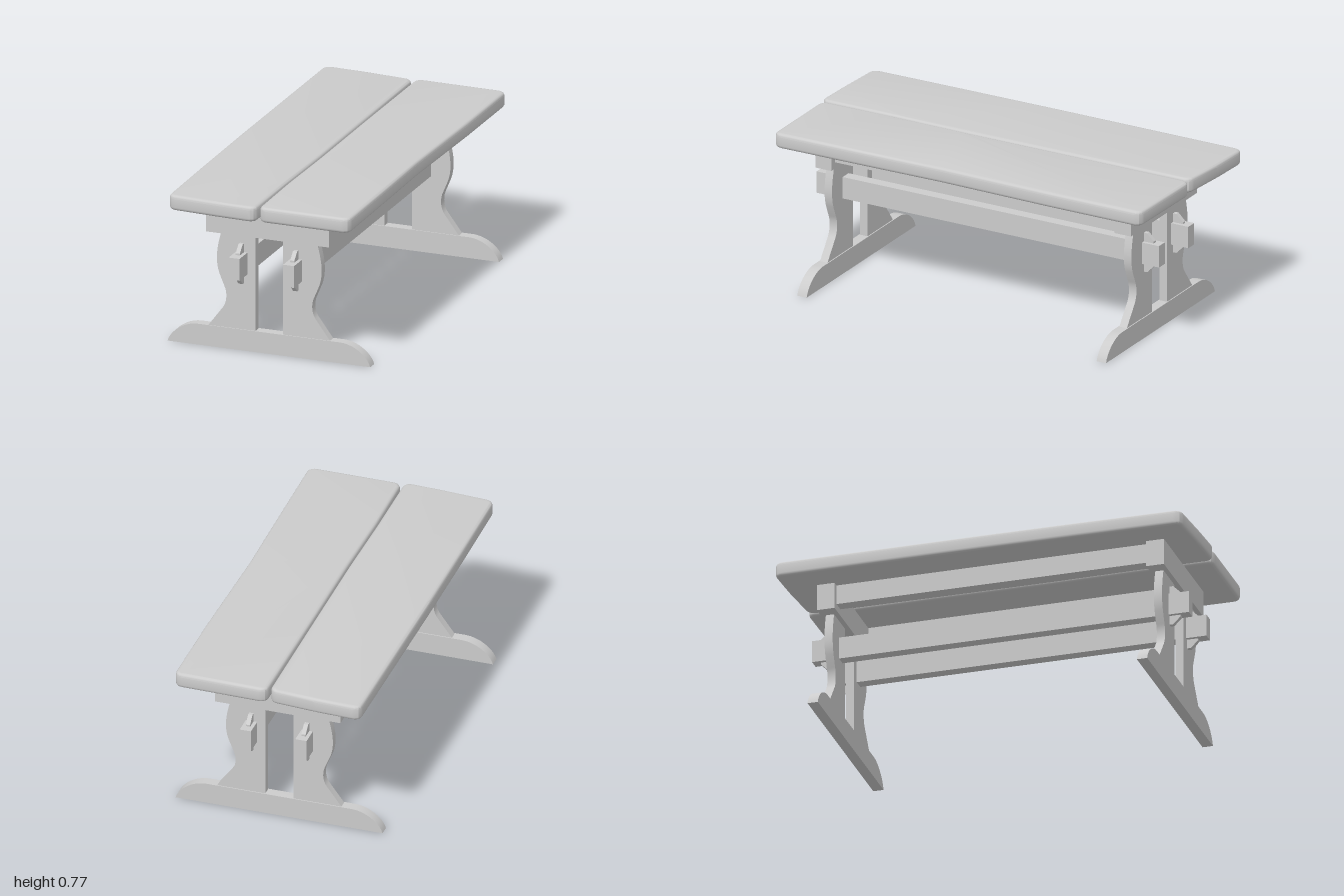
import * as THREE from 'three';
import { toCreasedNormals } from 'three/addons/utils/BufferGeometryUtils.js';

const CX = -0.003; // mirror line of the trestles
const CZ = 0.004;

export function createModel() {
  const table = new THREE.Group();
  table.name = 'trestleTable';
  const mat = new THREE.MeshStandardMaterial({ color: 0xcccccc });

  const add = (parent, name, geo) => {
    const mesh = new THREE.Mesh(geo, mat);
    mesh.name = name;
    parent.add(mesh);
    return mesh;
  };
  const box = (parent, name, w, h, d, x, y, z) =>
    add(parent, name, new THREE.BoxGeometry(w, h, d)).position.set(x, y, z);
  const board = (shape, depth) => toCreasedNormals(
    new THREE.ExtrudeGeometry(shape, { depth, bevelEnabled: false, curveSegments: 10 })
      .translate(0, 0, -depth / 2), 0.5);

  // Table planks: slightly uneven outlines with rounded corners and eased edges
  const bevel = 0.016;
  const plank = (name, pts) => {
    const v = pts.map(([x, z]) => new THREE.Vector2(x, z));
    const shape = new THREE.Shape();
    v.forEach((p, i) => {
      const prev = v[(i + v.length - 1) % v.length];
      const next = v[(i + 1) % v.length];
      const a = p.clone().add(prev.clone().sub(p).setLength(0.025));
      const b = p.clone().add(next.clone().sub(p).setLength(0.025));
      if (i === 0) shape.moveTo(a.x, a.y); else shape.lineTo(a.x, a.y);
      shape.quadraticCurveTo(p.x, p.y, b.x, b.y);
    });
    shape.closePath();
    const geo = new THREE.ExtrudeGeometry(shape, {
      depth: 0.073 - 2 * bevel, bevelSize: bevel, bevelThickness: bevel,
      bevelSegments: 4, curveSegments: 4,
    });
    geo.rotateX(Math.PI / 2).translate(0, 0.768 - bevel, 0);
    add(table, name, toCreasedNormals(geo, 0.45));
  };
  plank('rightPlank', [
    [-0.443, -0.984], [-0.25, -0.977], [-0.023, -0.959], [-0.019, -0.3], [-0.017, 0.2],
    [-0.022, 0.6], [-0.021, 0.98], [-0.2, 0.973], [-0.435, 0.958], [-0.441, 0.5], [-0.444, 0],
  ]);
  plank('leftPlank', [
    [0.02, -0.968], [0.443, -0.962], [0.443, -0.5], [0.432, 0.1], [0.438, 0.5],
    [0.443, 0.968], [0.021, 0.968], [0.016, 0.6], [0.021, 0.2], [0.019, -0.3],
  ]);

  // Foot outline with rounded-down ends
  const foot = new THREE.Shape();
  foot.moveTo(-0.506, 0);
  foot.lineTo(0.506, 0);
  foot.bezierCurveTo(0.49, 0.055, 0.42, 0.102, 0.355, 0.102);
  foot.lineTo(-0.355, 0.102);
  foot.bezierCurveTo(-0.42, 0.102, -0.49, 0.055, -0.506, 0);

  // Leg outline: straight inside, curved outside
  const legShape = (s) => {
    const leg = new THREE.Shape();
    leg.moveTo(s * 0.069, 0.1);
    leg.lineTo(s * 0.305, 0.1);
    leg.lineTo(s * 0.23, 0.2);
    leg.bezierCurveTo(s * 0.21, 0.23, s * 0.21, 0.275, s * 0.225, 0.305);
    leg.lineTo(s * 0.248, 0.36);
    leg.bezierCurveTo(s * 0.27, 0.42, s * 0.264, 0.48, s * 0.239, 0.57);
    leg.lineTo(s * 0.069, 0.57);
    leg.closePath();
    return leg;
  };

  // Tapered wedge, drawn in the z-y plane, locking each stretcher
  const wedge = new THREE.Shape([
    [0.015, 0.33], [0.038, 0.33], [0.073, 0.365], [0.073, 0.49], [0.038, 0.525], [0.015, 0.525],
  ].map(([z, y]) => new THREE.Vector2(z, y)));

  // The two end trestles
  for (const end of [1, -1]) {
    const trestle = new THREE.Group();
    trestle.name = end > 0 ? 'frontTrestle' : 'backTrestle';
    trestle.position.set(CX, 0, CZ + end * 0.8);
    table.add(trestle);
    add(trestle, 'foot', board(foot, 0.05));
    box(trestle, 'crossBeam', 0.613, 0.13, 0.086, 0, 0.632, 0);
    for (const s of [1, -1]) {
      add(trestle, s > 0 ? 'leftLeg' : 'rightLeg', board(legShape(s), 0.04));
      const peg = add(trestle, s > 0 ? 'leftWedge' : 'rightWedge', board(wedge, 0.021));
      peg.rotation.y = -end * Math.PI / 2; // wedge sticks outward from the leg
      peg.position.x = s * 0.136;
    }
  }

  // Long stretchers through the legs, and aprons under the top
  for (const s of [1, -1]) {
    const side = s > 0 ? 'left' : 'right';
    box(table, side + 'Stretcher', 0.055, 0.107, 1.83, CX + s * 0.136, 0.428, 0.008);
    box(table, side + 'Apron', 0.06, 0.1, 1.53, CX + s * 0.245, 0.65, CZ);
  }
  return table;
}
